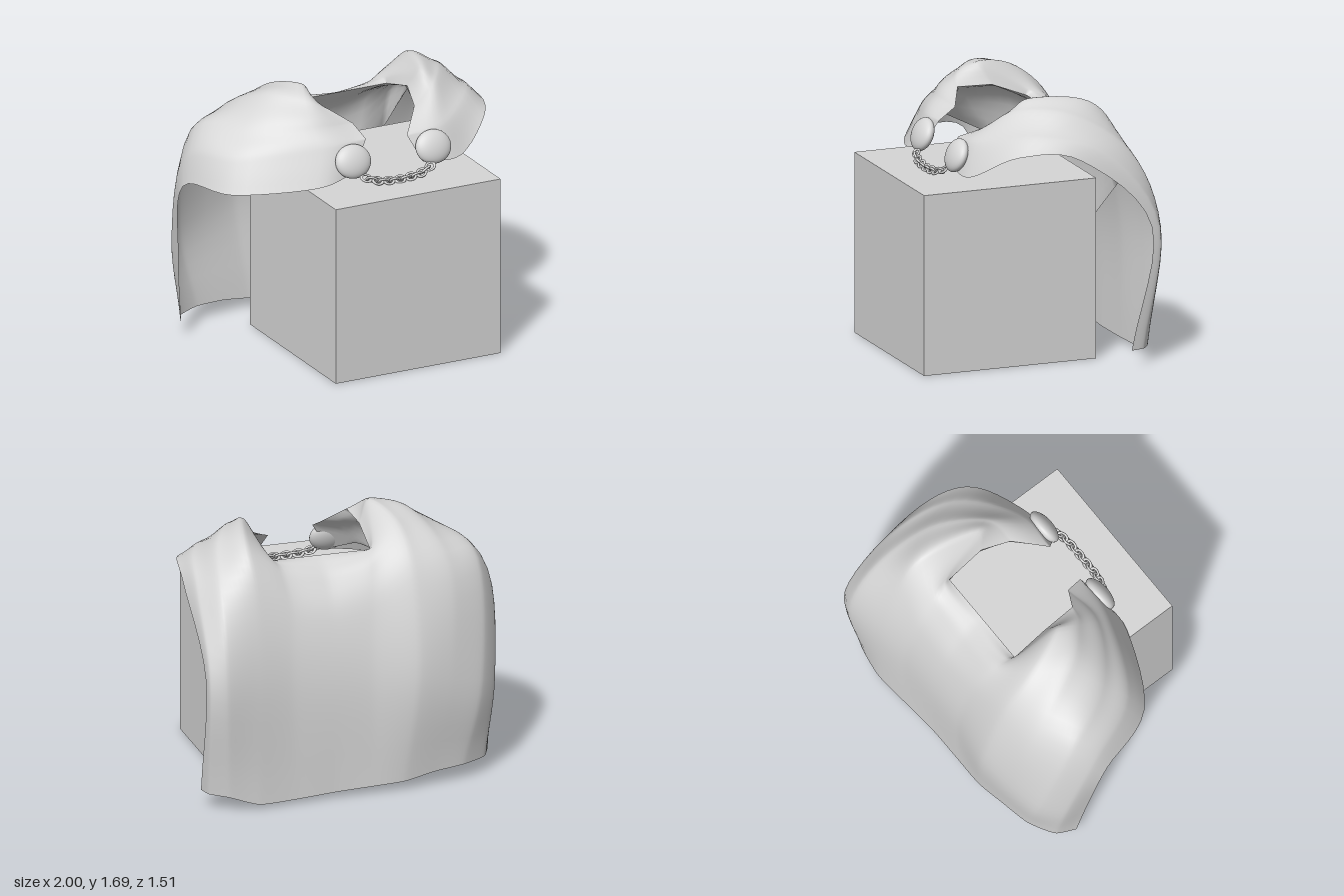
import * as THREE from 'three';

const grey = new THREE.MeshStandardMaterial({ color: 0xd6d6d6, side: THREE.DoubleSide });
grey.name = 'stone grey';

// Tension 0 gives straight runs between the points
const curve = (points, tension = 0.3) =>
  new THREE.CatmullRomCurve3(points.map((p) => new THREE.Vector3(...p)), false, 'catmullrom', tension);

// Guide lines of the cape, each running from the right front edge round the back to the left one
const neck = curve([[-0.14, 1.22, 0.42], [-0.02, 1.41, 0.36], [-0.05, 1.48, 0.24], [-0.18, 1.57, 0.17],
  [-0.19, 1.56, -0.06], [-0.19, 1.47, -0.29], [0.14, 1.47, -0.29], [0.46, 1.47, -0.29],
  [0.47, 1.54, -0.03], [0.42, 1.48, 0.16], [0.27, 1.38, 0.35], [0.34, 1.22, 0.43]], 0);
const ridge = curve([[-0.4, 1.17, 0.43], [-0.32, 1.39, 0.35], [-0.34, 1.51, 0.25], [-0.32, 1.63, 0.12],
  [-0.27, 1.69, -0.02], [-0.18, 1.49, -0.34], [0.14, 1.44, -0.36], [0.45, 1.49, -0.34],
  [0.54, 1.65, -0.02], [0.59, 1.6, 0.1], [0.54, 1.41, 0.33], [0.62, 1.21, 0.41]]);
const shoulder = curve([[-0.86, 1.13, 0.2], [-0.79, 1.33, 0.13], [-0.69, 1.48, 0.02], [-0.52, 1.63, -0.1],
  [-0.38, 1.61, -0.3], [-0.15, 1.42, -0.45], [0.14, 1.36, -0.46], [0.42, 1.43, -0.45],
  [0.63, 1.62, -0.38], [0.77, 1.59, -0.21], [0.84, 1.49, 0.04], [0.9, 1.38, 0.19]]);
const upperBack = curve([[-1, 1.08, -0.2], [-0.96, 1.24, -0.26], [-0.86, 1.37, -0.37], [-0.65, 1.38, -0.48],
  [-0.4, 1.35, -0.54], [-0.12, 1.18, -0.57], [0.14, 1.15, -0.58], [0.4, 1.2, -0.58],
  [0.63, 1.36, -0.57], [0.85, 1.33, -0.57], [0.95, 1.36, -0.37], [0.985, 1.34, -0.19]]);
const lowerBack = curve([[-0.97, 0.6, -0.32], [-0.94, 0.62, -0.47], [-0.82, 0.65, -0.59], [-0.6, 0.7, -0.66],
  [-0.38, 0.75, -0.7], [-0.1, 0.72, -0.66], [0.14, 0.72, -0.66], [0.42, 0.76, -0.67],
  [0.65, 0.82, -0.71], [0.87, 0.84, -0.75], [0.97, 0.87, -0.71], [0.985, 0.88, -0.65]]);
const hem = curve([[-0.92, 0.1, -0.38], [-0.86, 0.1, -0.5], [-0.7, 0.1, -0.59], [-0.5, 0.09, -0.63],
  [-0.3, 0.06, -0.66], [-0.1, 0.05, -0.66], [0.14, 0.04, -0.66], [0.4, 0.03, -0.68],
  [0.65, 0.03, -0.7], [0.84, 0.09, -0.68], [0.95, 0.1, -0.61], [0.975, 0.1, -0.52]]);

// Inner lining: middle line and ragged lower edge
const liningMiddle = curve([[-0.23, 1.25, 0.37], [-0.25, 1.34, 0.31], [-0.31, 1.44, 0.21], [-0.42, 1.44, 0.02],
  [-0.46, 1.4, -0.28], [-0.18, 1.28, -0.47], [0.14, 1.25, -0.48], [0.42, 1.3, -0.49],
  [0.58, 1.4, -0.42], [0.52, 1.51, -0.02], [0.4, 1.39, 0.28], [0.42, 1.22, 0.41]]);
const liningHem = curve([[-0.32, 1.28, 0.32], [-0.42, 1.21, 0.27], [-0.5, 1.35, 0.19], [-0.55, 1.15, -0.19],
  [-0.56, 0.96, -0.38], [-0.42, 0.92, -0.45], [0, 0.88, -0.5], [0.35, 0.8, -0.51],
  [0.6, 1.07, -0.58], [0.58, 1.48, -0.2], [0.52, 1.39, 0.24], [0.5, 1.22, 0.4]], 0);

// Smooth sheet stretched across a list of guide lines
function loft(name, guides, across, down, fold = 0) {
  const positions = [];
  const index = [];
  for (let i = 0; i <= across; i++) {
    const t = i / across;
    const column = new THREE.CatmullRomCurve3(guides.map((g) => g.getPoint(t)), false, 'catmullrom');
    for (let j = 0; j <= down; j++) {
      const s = j / down;
      const p = column.getPoint(s);
      // shallow folds that gather over the shoulders and fade at the edges
      const gather = Math.sin(Math.PI * Math.min(1, s / 0.7)) * Math.sin(Math.PI * t) * Math.abs(Math.cos(Math.PI * t));
      p.y += fold * gather * Math.sin(t * Math.PI * 22);
      positions.push(p.x, p.y, p.z);
      if (i < across && j < down) {
        const a = i * (down + 1) + j;
        const b = a + down + 1;
        index.push(a, a + 1, b, b, a + 1, b + 1);
      }
    }
  }
  const geometry = new THREE.BufferGeometry();
  geometry.setAttribute('position', new THREE.Float32BufferAttribute(positions, 3));
  geometry.setIndex(index);
  geometry.computeVertexNormals();
  return part(name, geometry);
}

function part(name, geometry, x = 0, y = 0, z = 0) {
  const mesh = new THREE.Mesh(geometry, grey);
  mesh.name = name;
  mesh.position.set(x, y, z);
  return mesh;
}

// Interlocking oval links along a hanging curve
function makeChain() {
  const chain = new THREE.Group();
  chain.name = 'chain';
  const path = curve([[-0.1, 1.21, 0.48], [0, 1.178, 0.505], [0.14, 1.167, 0.51], [0.28, 1.178, 0.505], [0.38, 1.21, 0.48]]);
  const link = new THREE.TorusGeometry(0.024, 0.0075, 8, 16).scale(1.35, 1, 1);
  const count = 13;
  for (let i = 0; i < count; i++) {
    const t = (i + 0.5) / count;
    const mesh = part('chainLink', link);
    mesh.position.copy(path.getPointAt(t));
    mesh.quaternion.setFromUnitVectors(new THREE.Vector3(1, 0, 0), path.getTangentAt(t));
    mesh.rotateX(i % 2 ? Math.PI / 4 : -Math.PI / 4);
    chain.add(mesh);
  }
  return chain;
}

export function createModel() {
  const model = new THREE.Group();
  model.name = 'capeOnBlock';

  // Block
  model.add(part('block', new THREE.BoxGeometry(1.145, 1.15, 1.145), 0.138, 0.575, 0.182));

  // Cape and lining
  model.add(loft('cape', [neck, ridge, shoulder, upperBack, lowerBack, hem], 88, 30, 0.012));
  model.add(loft('lining', [neck, liningMiddle, liningHem], 44, 10));

  // Clasps, leaning back
  const clasp = new THREE.SphereGeometry(1, 32, 20).scale(0.12, 0.107, 0.052).rotateX(-0.4);
  model.add(part('rightClasp', clasp, -0.14, 1.303, 0.42));
  model.add(part('leftClasp', clasp, 0.417, 1.303, 0.42));

  model.add(makeChain());
  return model;
}
